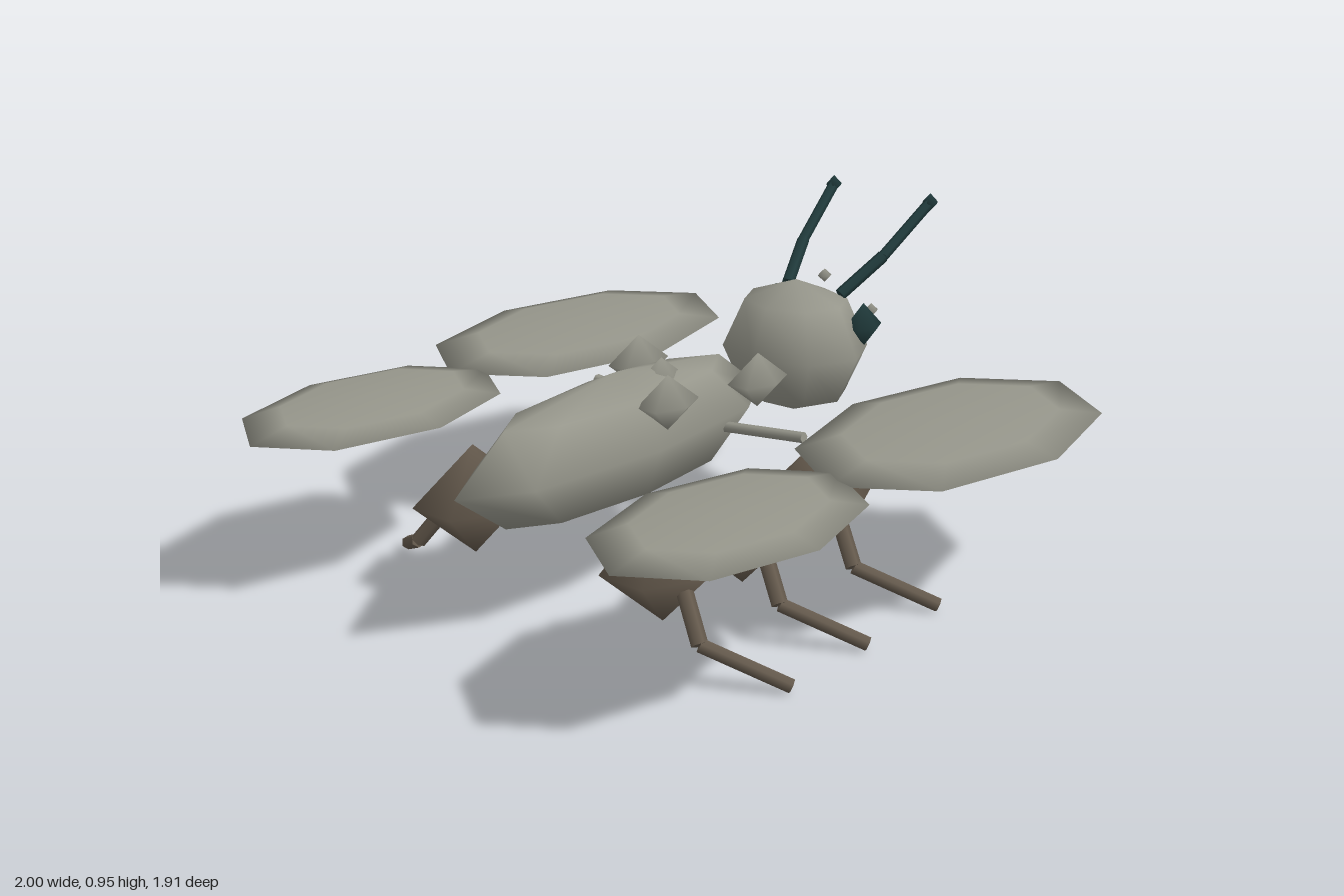
import * as THREE from 'three';

const grey = new THREE.MeshStandardMaterial({ color: 0x96968b });
grey.name = 'stone grey';
const brown = new THREE.MeshStandardMaterial({ color: 0x655a4d });
brown.name = 'bark brown';
const teal = new THREE.MeshStandardMaterial({ color: 0x203a3b });
teal.name = 'dark teal';

export function createModel() {
  const root = new THREE.Group();
  root.name = 'insect';

  const add = (geometry, material, name) => {
    const mesh = new THREE.Mesh(geometry, material);
    mesh.name = name;
    root.add(mesh);
    return mesh;
  };

  // stretched low-poly ball
  const ball = (name, material, pos, radii, sides = 8, rings = 4) => {
    const geometry = new THREE.SphereGeometry(1, sides, rings);
    geometry.scale(...radii);
    add(geometry, material, name).position.set(...pos);
  };

  // straight six-sided rod between two points
  const rod = (name, material, from, to, radius) => {
    const a = new THREE.Vector3(...from);
    const b = new THREE.Vector3(...to);
    const dir = b.clone().sub(a);
    const mesh = add(new THREE.CylinderGeometry(radius, radius, dir.length(), 6), material, name);
    mesh.position.copy(a).add(b).multiplyScalar(0.5);
    mesh.quaternion.setFromUnitVectors(new THREE.Vector3(0, 1, 0), dir.normalize());
  };

  // body and head
  ball('body', grey, [0, 0.475, 0.235], [0.155, 0.185, 0.595]);
  ball('head', grey, [0, 0.55, -0.53], [0.222, 0.197, 0.195]);
  ball('middleOcellus', grey, [0, 0.73, -0.665], [0.02, 0.02, 0.022], 6, 2);

  // bumps scattered over the back
  for (const [x, z] of [[-0.155, -0.025], [0.195, -0.115], [0.135, 0.185], [0.025, 0.085]]) {
    ball('backBump', grey, [x, 0.592, z], [0.067, 0.076, 0.1], 6, 2);
  }

  for (const s of [1, -1]) {
    const side = s > 0 ? 'left' : 'right';

    // wings and the strut that carries them
    ball(side + 'ForeWing', grey, [s * 0.675, 0.498, -0.34], [0.325, 0.036, 0.54]);
    ball(side + 'HindWing', grey, [s * 0.632, 0.498, 0.53], [0.268, 0.034, 0.425]);
    rod(side + 'WingStrut', grey, [s * 0.08, 0.44, -0.09], [s * 0.375, 0.475, -0.09], 0.015);

    // eyes and side ocelli
    ball(side + 'Eye', teal, [s * 0.16, 0.615, -0.64], [0.05, 0.067, 0.064], 6, 2);
    ball(side + 'Ocellus', grey, [s * 0.155, 0.65, -0.685], [0.02, 0.02, 0.022], 6, 2);

    // antennae
    const joint = [s * 0.145, 0.795, -0.75];
    const tip = [s * 0.175, 0.925, -0.935];
    rod(side + 'LowerAntenna', teal, [s * 0.095, 0.7, -0.615], joint, 0.018);
    rod(side + 'UpperAntenna', teal, joint, tip, 0.016);
    ball(side + 'AntennaTip', teal, tip, [0.025, 0.027, 0.025], 6, 2);

    // three legs: haunch, shin and foot
    for (const z of [-0.2, 0.12, 0.44]) {
      const knee = [s * 0.51, 0.122, z + 0.055];
      ball(side + 'Haunch', brown, [s * 0.34, 0.275, z], [0.147, 0.157, 0.184], 6, 2);
      rod(side + 'Shin', brown, [s * 0.42, 0.245, z + 0.015], knee, 0.022);
      rod(side + 'Foot', brown, knee, [s * 0.7, 0.022, z - 0.075], 0.02);
    }
  }
  return root;
}
